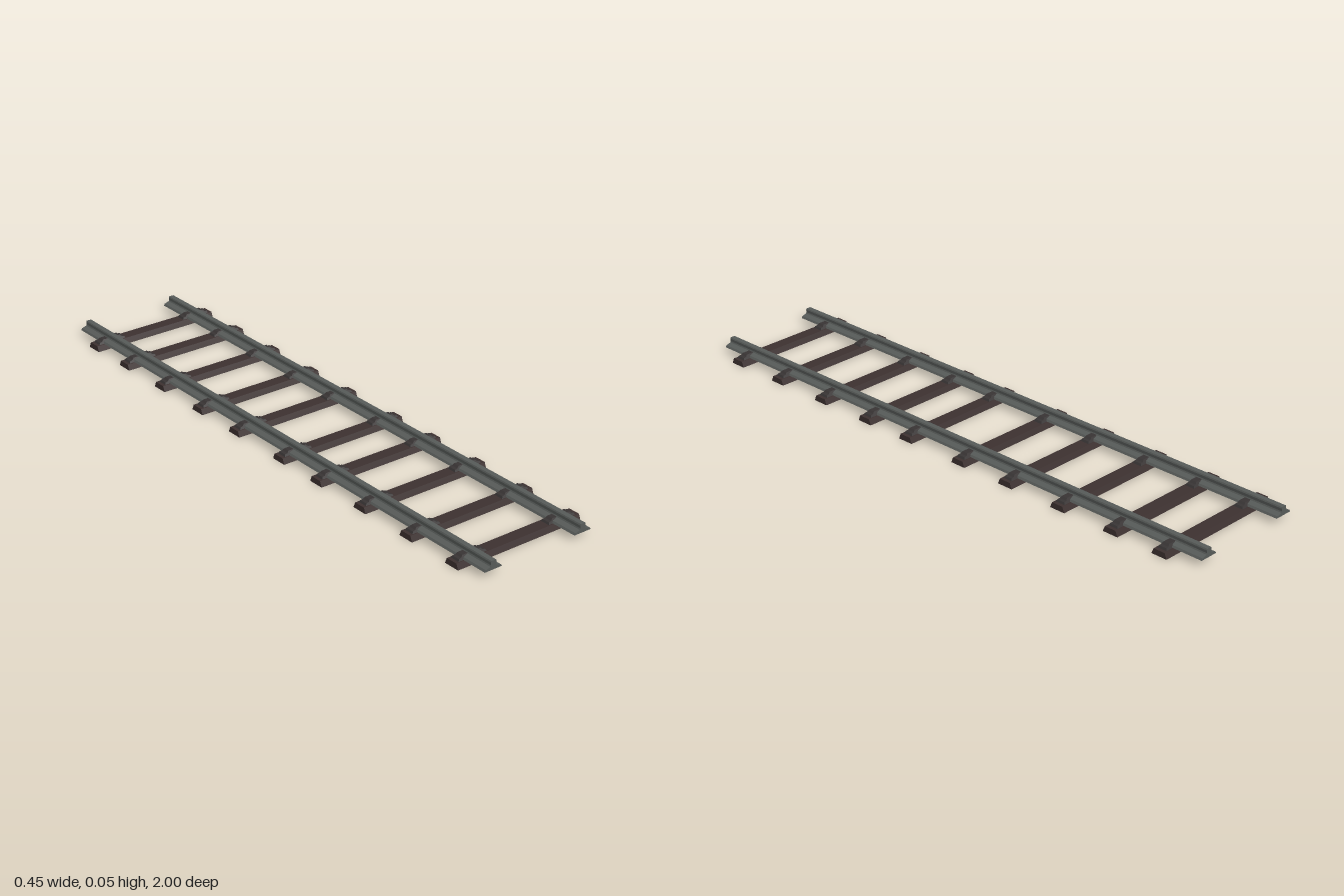
import * as THREE from 'three';

const steel = new THREE.MeshStandardMaterial({ name: 'rail steel', color: 0x565a58 });
const wood = new THREE.MeshStandardMaterial({ name: 'dark sleeper wood', color: 0x3c302f });
const iron = new THREE.MeshStandardMaterial({ name: 'dark chair iron', color: 0x383434 });

// Extrudes an x/y outline along z; the half depth may depend on the height
function prism(points, halfDepth) {
  const shape = new THREE.Shape(points.map(([x, y]) => new THREE.Vector2(x, y)));
  const geo = new THREE.ExtrudeGeometry(shape, { depth: 2, bevelEnabled: false });
  geo.translate(0, 0, -1);
  const pos = geo.attributes.position;
  for (let i = 0; i < pos.count; i++) pos.setZ(i, pos.getZ(i) * halfDepth(pos.getY(i)));
  geo.computeVertexNormals();
  return geo;
}

// Completes a right-hand half outline (bottom to top) with its mirror image
const mirrored = (half) => [...half, ...half.slice().reverse().map(([x, y]) => [-x, y])];

export function createModel() {
  const track = new THREE.Group();
  track.name = 'railwayTrack';
  const add = (name, geo, mat, x, z) => {
    const mesh = new THREE.Mesh(geo, mat);
    mesh.name = name;
    mesh.position.set(x, 0, z);
    track.add(mesh);
  };

  // Rail: wide sloped foot, web and narrow head
  const railGeo = prism(mirrored([
    [0.031, 0.019], [0.027, 0.025], [0.011, 0.030],
    [0.009, 0.034], [0.010, 0.043], [0.008, 0.047],
  ]), () => 1);

  // Sleeper: long beam with sides leaning in
  const sleeperGeo = prism([
    [-0.228, 0], [0.227, 0], [0.227, 0.018], [-0.228, 0.018],
  ], (y) => 0.027 - y * 0.4);

  // Chair: stepped clamp holding the rail foot
  const chairGeo = prism(mirrored([
    [0.051, 0.017], [0.047, 0.024], [0.038, 0.0255], [0.032, 0.031],
  ]), (y) => 0.017 - (y - 0.017) * 0.5);

  const rails = [['rightRail', -0.17], ['leftRail', 0.16]];
  for (const [name, x] of rails) add(name, railGeo, steel, x, 0);

  // Unevenly spaced sleepers, each with a chair under both rails
  const spots = [-0.88, -0.702, -0.502, -0.296, -0.104, 0.119, 0.298, 0.499, 0.703, 0.896];
  for (const z of spots) {
    add('sleeper', sleeperGeo, wood, 0, z);
    add('rightChair', chairGeo, iron, -0.167, z);
    add('leftChair', chairGeo, iron, 0.165, z);
  }
  return track;
}
